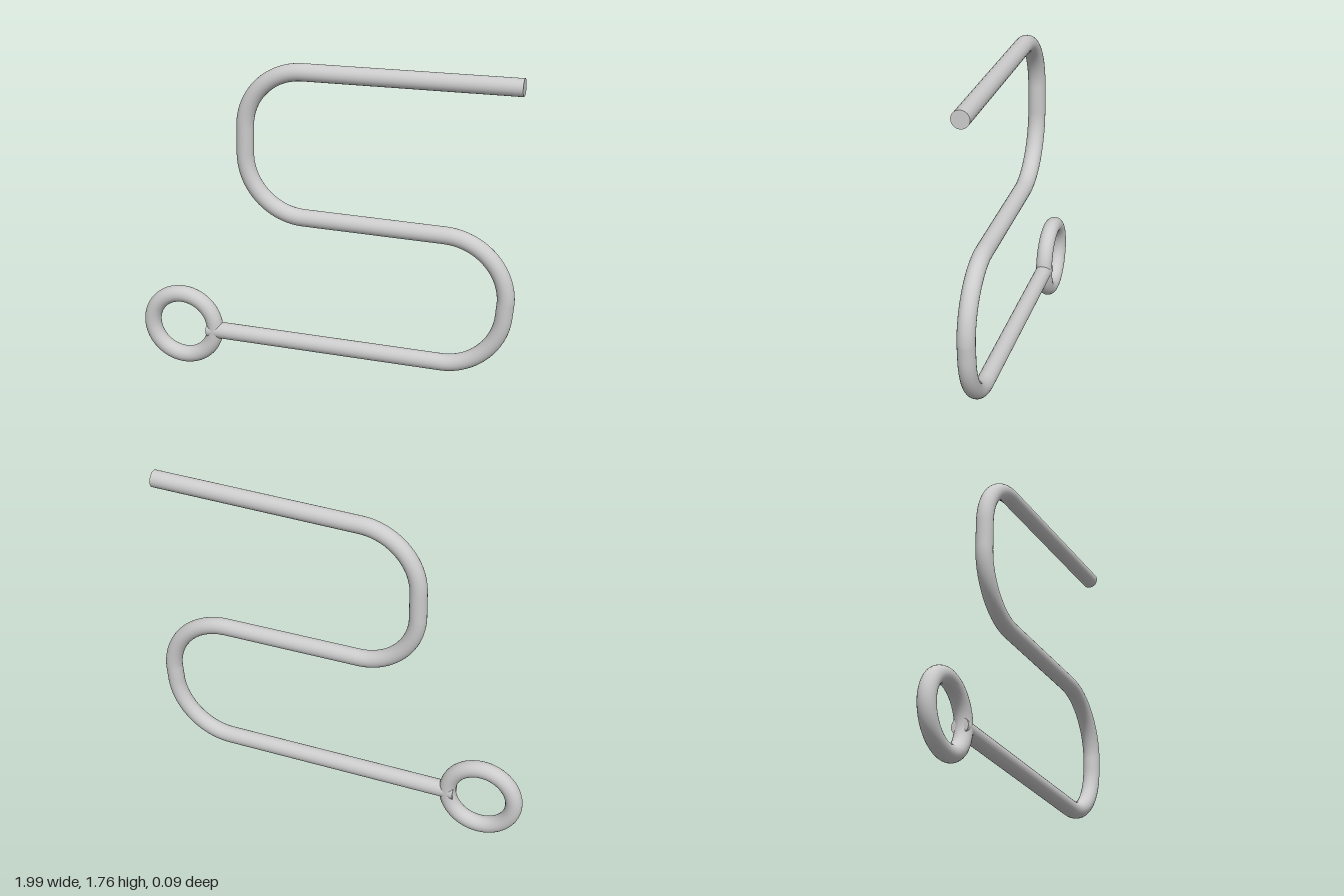
import * as THREE from 'three';

const R = 0.044; // rod radius
const v = (x, y) => new THREE.Vector3(x, y, 0);

// Rounded bend from a to b, pulled towards the corner c
function bend(a, c, b) {
  const k = 0.5523;
  return new THREE.CubicBezierCurve3(a, a.clone().lerp(c, k), b.clone().lerp(c, k), b);
}

export function createModel() {
  const group = new THREE.Group();
  const material = new THREE.MeshStandardMaterial({ color: 0xcccccc });
  const add = (name, geometry) => {
    const mesh = new THREE.Mesh(geometry, material);
    mesh.name = name;
    group.add(mesh);
    return mesh;
  };

  // Ring at the lower end
  add('ring', new THREE.TorusGeometry(0.178, R, 24, 72)).position.set(-0.778, 0.224, 0);

  // S-shaped rod: straight runs joined by bends
  const path = new THREE.CurvePath();
  const line = (a, b) => path.add(new THREE.LineCurve3(a, b));
  const corner = (a, c, b) => path.add(bend(a, c, b));
  line(v(-0.638, 0.217), v(0.63, 0.223));
  corner(v(0.63, 0.223), v(0.925, 0.224), v(0.943, 0.53));
  line(v(0.943, 0.53), v(0.949, 0.605));
  corner(v(0.949, 0.605), v(0.951, 0.926), v(0.63, 0.926));
  line(v(0.63, 0.926), v(-0.1, 0.926));
  corner(v(-0.1, 0.926), v(-0.407, 0.926), v(-0.407, 1.24));
  line(v(-0.407, 1.24), v(-0.405, 1.385));
  corner(v(-0.405, 1.385), v(-0.402, 1.688), v(-0.1, 1.692));
  line(v(-0.1, 1.692), v(0.985, 1.721));
  add('rod', new THREE.TubeGeometry(path, 240, R, 24, false));

  // Flat caps on both rod ends
  for (const [name, t, sign] of [['ringEndCap', 0, -1], ['freeEndCap', 1, 1]]) {
    const cap = add(name, new THREE.CircleGeometry(R, 24));
    const out = path.getTangentAt(t).multiplyScalar(sign);
    cap.position.copy(path.getPointAt(t));
    cap.quaternion.setFromUnitVectors(new THREE.Vector3(0, 0, 1), out);
  }
  return group;
}
